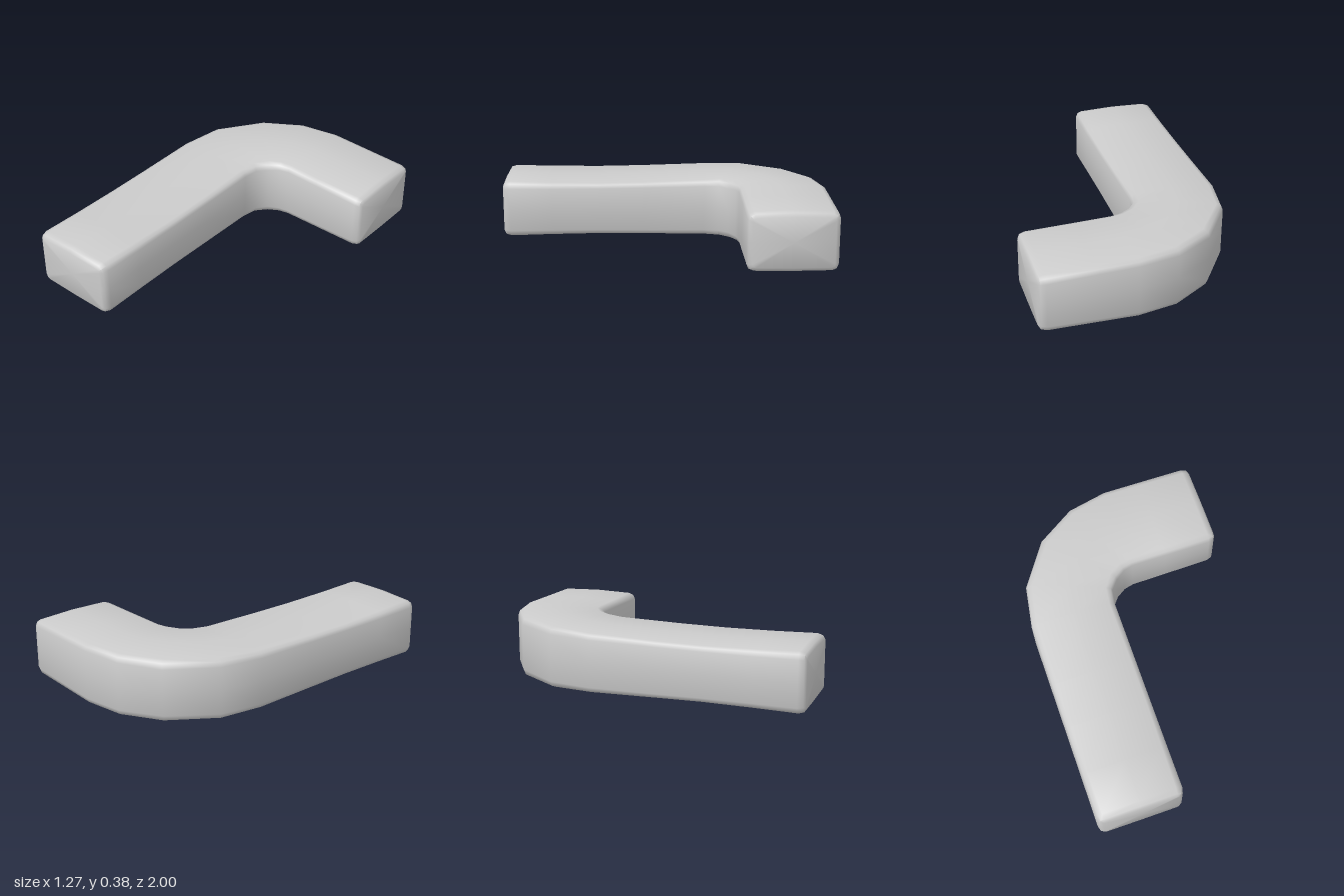
import * as THREE from 'three';
import { toCreasedNormals } from 'three/addons/utils/BufferGeometryUtils.js';

// Stations along the bar: outer x, z, inner x, z, bottom y, top y, inset, edge radius
const stations = [
  [-0.635, 1, -0.105, 1, 0.004, 0.364, 0.03, 0.02],
  [-0.635, 0.987, -0.105, 0.987, 0.004, 0.364, 0.009, 0.035],
  [-0.635, 0.955, -0.105, 0.955, 0.004, 0.364, 0, 0.04],
  [-0.635, 0.7, -0.105, 0.7, 0.012, 0.356, 0, 0.035],
  [-0.635, 0.4, -0.105, 0.4, 0.018, 0.352, 0, 0.03],
  [-0.635, 0.12, -0.105, 0.12, 0.015, 0.356, 0, 0.03],
  [-0.635, -0.28, -0.105, -0.26, 0.008, 0.368, 0, 0.035],
  [-0.59, -0.54, -0.09, -0.35, 0.003, 0.377, 0, 0.04],
  [-0.405, -0.81, -0.04, -0.41, 0, 0.38, 0, 0.045],
  [-0.175, -0.952, 0.02, -0.45, 0, 0.38, 0, 0.04],
  [0.07, -1, 0.08, -0.465, 0.002, 0.377, 0, 0.035],
  [0.3, -1, 0.3, -0.465, 0.004, 0.37, 0, 0.035],
  [0.59, -1, 0.59, -0.465, 0.004, 0.364, 0, 0.04],
  [0.622, -1, 0.622, -0.465, 0.004, 0.364, 0.009, 0.035],
  [0.635, -1, 0.635, -0.465, 0.004, 0.364, 0.03, 0.02],
];

// Rounded, slightly crowned cross-section, counter-clockwise from the front
function section([ox, oz, ix, iz, bottom, top, inset, r]) {
  const width = Math.hypot(ix - ox, iz - oz);
  const w = width - 2 * inset, b = bottom + inset, t = top - inset;
  const k = r * 0.29, crown = 0.007;
  const profile = [
    [r, b], [w / 2, b - 0.003], [w - r, b], [w - k, b + k], [w, b + r],
    [w, (b + t) / 2], [w, t - crown - r], [w - k, t - crown - k], [w - r, t - crown],
    [w / 2, t], [r, t - crown], [k, t - crown - k], [0, t - crown - r],
    [0, (b + t) / 2], [0, b + r], [k, b + k],
  ];
  return profile.map(([u, y]) => {
    const f = (u + inset) / width;
    return [ox + (ix - ox) * f, y, oz + (iz - oz) * f];
  });
}

function barGeometry() {
  const rings = stations.map(section);
  const n = rings[0].length, last = rings.length - 1;
  const positions = rings.flat(2), index = [];
  for (let i = 0; i < last; i++) {
    for (let j = 0; j < n; j++) {
      const a = i * n + j, b = i * n + (j + 1) % n;
      index.push(a, a + n, b, b, a + n, b + n);
    }
  }
  // Flat end caps
  [0, last].forEach((ring) => {
    const centre = positions.length / 3;
    for (let k = 0; k < 3; k++) {
      positions.push(rings[ring].reduce((sum, p) => sum + p[k], 0) / n);
    }
    for (let j = 0; j < n; j++) {
      const a = ring * n + j, b = ring * n + (j + 1) % n;
      index.push(centre, ...(ring === 0 ? [a, b] : [b, a]));
    }
  });
  const geometry = new THREE.BufferGeometry();
  geometry.setAttribute('position', new THREE.Float32BufferAttribute(positions, 3));
  geometry.setIndex(index);
  return toCreasedNormals(geometry, 0.85);
}

export function createModel() {
  const group = new THREE.Group();
  group.name = 'cornerBar';
  const bar = new THREE.Mesh(barGeometry(), new THREE.MeshStandardMaterial({ color: 0xcccccc }));
  bar.name = 'bentBar';
  group.add(bar);
  return group;
}
